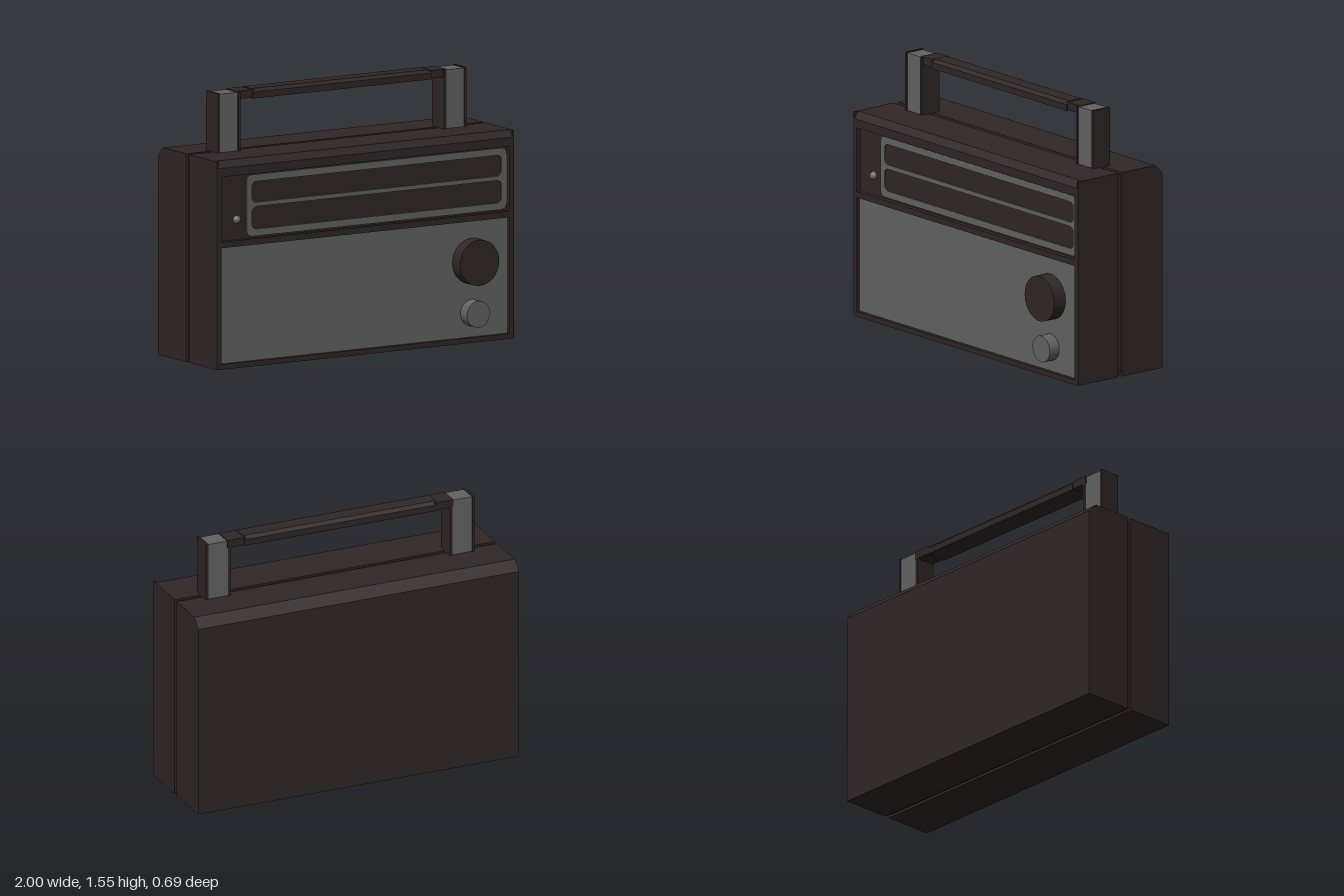
import * as THREE from 'three';

export function createModel() {
  const radio = new THREE.Group();
  radio.name = 'portableRadio';
  const dark = new THREE.MeshStandardMaterial({ color: 0x302626 });
  dark.name = 'dark brown';
  const grey = new THREE.MeshStandardMaterial({ color: 0x626262 });
  grey.name = 'grey';

  const add = (name, geometry, material) => {
    const mesh = new THREE.Mesh(geometry, material);
    mesh.name = name;
    radio.add(mesh);
    return mesh;
  };
  // Box given by its limits on each axis
  const box = (name, mat, [x0, x1], [y0, y1], [z0, z1]) =>
    add(name, new THREE.BoxGeometry(x1 - x0, y1 - y0, z1 - z0)
      .translate((x0 + x1) / 2, (y0 + y1) / 2, (z0 + z1) / 2), mat);
  // Side profile of [z, y] points swept from x0 to x1
  const sweep = (name, mat, points, x0, x1) => {
    const shape = new THREE.Shape(points.map(([z, y]) => new THREE.Vector2(-z, y)));
    const geo = new THREE.ExtrudeGeometry(shape, { depth: x1 - x0, bevelEnabled: false });
    return add(name, geo.rotateY(Math.PI / 2).translate(x0, 0, 0), mat);
  };
  // Rounded rectangle outline
  const rounded = (x0, x1, y0, y1, r, Type = THREE.Path) => {
    const p = new Type();
    p.moveTo(x0 + r, y0);
    p.lineTo(x1 - r, y0).quadraticCurveTo(x1, y0, x1, y0 + r);
    p.lineTo(x1, y1 - r).quadraticCurveTo(x1, y1, x1 - r, y1);
    p.lineTo(x0 + r, y1).quadraticCurveTo(x0, y1, x0, y1 - r);
    p.lineTo(x0, y0 + r).quadraticCurveTo(x0, y0, x0 + r, y0);
    return p;
  };
  const rect = (x0, x1, y0, y1) => new THREE.Path([
    [x0, y0], [x1, y0], [x1, y1], [x0, y1], [x0, y0]].map(p => new THREE.Vector2(...p)));
  const plate = (name, mat, shape, z, depth) =>
    add(name, new THREE.ExtrudeGeometry(shape, { depth, bevelEnabled: false, curveSegments: 6 })
      .translate(0, 0, z), mat);

  // Case halves with a narrow seam between them
  sweep('backCase', dark,
    [[-0.04, 0], [-0.04, 1.2], [-0.285, 1.2], [-0.34, 1.145], [-0.34, 0]], -1, 1);
  box('seam', dark, [-0.985, 0.985], [0.015, 1.188], [-0.05, 0]);
  box('frontCase', dark, [-1, 1], [0, 1.2], [-0.012, 0.255]);

  // Front frame with two openings, sloped top lip and square end caps
  const frame = new THREE.Shape(rect(-1, 1, 0, 1.16).getPoints());
  frame.holes.push(rect(-0.97, 0.97, 0.03, 0.7), rect(-0.97, 0.97, 0.735, 1.11));
  plate('frontFrame', dark, frame, 0.255, 0.03);
  sweep('topLip', dark, [[0.255, 1.16], [0.285, 1.16], [0.255, 1.2]], -0.99, 0.99);
  for (const s of [-1, 1])
    box('lipEnd', dark, [s * 0.995 - 0.005, s * 0.995 + 0.005], [1.16, 1.2], [0.255, 0.285]);

  // Speaker panel
  box('speakerPanel', grey, [-0.97, 0.97], [0.03, 0.7], [0.255, 0.263]);

  // Tuning dial surround with two slots
  const dial = rounded(-0.785, 0.965, 0.745, 1.1, 0.04, THREE.Shape);
  dial.holes.push(rounded(-0.75, 0.93, 0.785, 0.915, 0.035),
    rounded(-0.75, 0.93, 0.94, 1.06, 0.035));
  plate('dialSurround', grey, dial, 0.255, 0.008);

  // Knobs and button
  const knob = (name, mat, x, y, r, z1) =>
    add(name, new THREE.CylinderGeometry(r, r, z1 - 0.255, 40)
      .rotateX(Math.PI / 2).translate(x, y, (z1 + 0.255) / 2), mat);
  knob('tuningKnob', dark, 0.73, 0.468, 0.132, 0.345);
  knob('volumeKnob', grey, 0.73, 0.17, 0.077, 0.333);
  add('lamp', new THREE.SphereGeometry(0.025, 16, 12).translate(-0.85, 0.85, 0.258), grey);

  // Handle posts: grey core between dark side plates
  for (const s of [-1, 1]) {
    const span = (a, b) => [Math.min(s * a, s * b), Math.max(s * a, s * b)];
    box('handlePost', grey, span(0.7, 0.823), [1.19, 1.538], [-0.083, 0.033]);
    box('postOuterPlate', dark, span(0.823, 0.837), [1.19, 1.543], [-0.088, 0.04]);
    box('postInnerPlate', dark, span(0.685, 0.7), [1.19, 1.538], [-0.088, 0.04]);
    box('gripEnd', dark, span(0.59, 0.705), [1.497, 1.543], [-0.088, 0.03]);
  }
  // Grip with bevelled upper edges
  sweep('grip', dark, [[0.038, 1.493], [0.038, 1.53], [0.02, 1.548],
    [-0.07, 1.548], [-0.09, 1.53], [-0.09, 1.493]], -0.6, 0.6);

  return radio;
}
